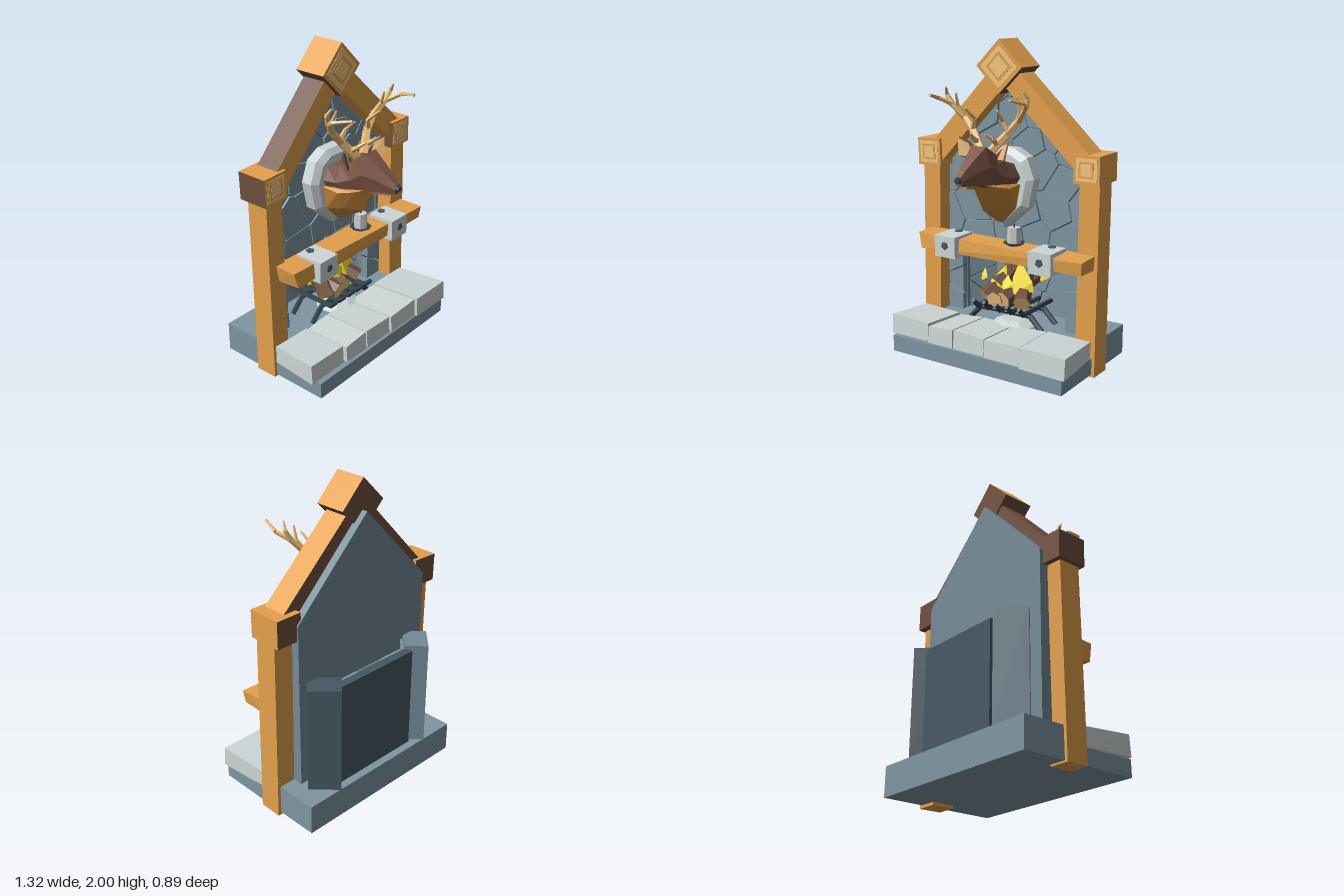
import * as THREE from 'three';
import { ConvexGeometry } from 'three/addons/geometries/ConvexGeometry.js';

const mat = (color) => new THREE.MeshStandardMaterial({ color, flatShading: true });
const M = {
  wood: mat(0xe3a04c), pale: mat(0xf2c680), brown: mat(0x70503f), fur: mat(0x7a5343),
  slate: mat(0x7f96a2), slab: mat(0x748a96), dark: mat(0x465862), iron: mat(0x33434c),
  stone: mat(0xcdd6d6), flame: mat(0xfbe93c), antler: mat(0xecbb78), chest: mat(0xc88a3a), wax: mat(0xcccccc),
};
const V = (x, y, z) => new THREE.Vector3(x, y, z);

export function createModel() {
  const model = new THREE.Group();
  const add = (name, geo, m, parent = model) => {
    const mesh = new THREE.Mesh(geo, m);
    mesh.name = name;
    parent.add(mesh);
    return mesh;
  };
  // Box from min/max extents
  const box = (name, x0, x1, y0, y1, z0, z1, m) => {
    const b = add(name, new THREE.BoxGeometry(x1 - x0, y1 - y0, z1 - z0), m);
    b.position.set((x0 + x1) / 2, (y0 + y1) / 2, (z0 + z1) / 2);
    return b;
  };
  // Tapered rod between two points
  const rod = (name, a, b, r0, r1, m, sides = 5) => {
    const d = b.clone().sub(a);
    const c = add(name, new THREE.CylinderGeometry(r1, r0, d.length(), sides), m);
    c.position.copy(a).add(b).multiplyScalar(0.5);
    c.quaternion.setFromUnitVectors(V(0, 1, 0), d.normalize());
  };
  const hull = (name, pts, m) => add(name, new ConvexGeometry(pts.map((p) => V(...p))), m);
  // Body lofted along z through six-sided rings [z, halfWidth, yBottom, yTop]
  const loft = (name, cx, rings, m) => {
    const pts = rings.map(([z, w, y0, y1]) => [0, 1, 2, 3, 4, 5].map((i) => {
      const a = i * Math.PI / 3;
      return V(cx + w * Math.cos(a) * (i % 3 ? 1.3 : 1), (y0 + y1) / 2 + Math.sin(a) / 0.866 * (y1 - y0) / 2, z);
    }));
    const tri = [];
    for (let r = 0; r + 1 < pts.length; r++) for (let i = 0; i < 6; i++) {
      const j = (i + 1) % 6, a = pts[r], b = pts[r + 1];
      tri.push(a[i], a[j], b[j], a[i], b[j], b[i]);
    }
    const e = pts[pts.length - 1];
    for (let i = 1; i < 5; i++) tri.push(pts[0][0], pts[0][i + 1], pts[0][i], e[0], e[i], e[i + 1]);
    const g = new THREE.BufferGeometry().setFromPoints(tri);
    g.computeVertexNormals();
    return add(name, g, m);
  };

  // Base slab and slightly skewed hearth bricks [xLeft, xRight, frontZ, topLeft, topRight]
  box('baseBack', -0.615, 0.625, 0.02, 0.21, -0.44, -0.02, M.slate);
  box('baseFront', -0.615, 0.625, 0.02, 0.125, -0.02, 0.345, M.slate);
  [[-0.65, -0.365, 0.31, 0.25, 0.24], [-0.35, -0.165, 0.325, 0.23, 0.245], [-0.155, 0.07, 0.325, 0.245, 0.235],
    [0.08, 0.33, 0.335, 0.235, 0.245], [0.34, 0.645, 0.35, 0.25, 0.245]].forEach(([a, b, z, ya, yb]) => {
    const k = 0.96;
    hull('hearthBrick', [[a, 0.12, z], [b, 0.115, z], [a, ya, z - 0.008], [b, yb, z - 0.008],
      [a * k, 0.12, -0.01], [b * k, 0.12, -0.01], [a * k, ya - 0.015, -0.01], [b * k, yb - 0.015, -0.01]], M.stone);
  });

  // Gabled back wall with fireplace opening
  const wall = new THREE.Shape([[-0.53, 0.2], [0.515, 0.2], [0.515, 1.28], [-0.02, 1.81], [-0.53, 1.28]].map((p) => new THREE.Vector2(...p)));
  wall.holes.push(new THREE.Path([[-0.39, 0.21], [-0.39, 0.7], [0.39, 0.7], [0.39, 0.21]].map((p) => new THREE.Vector2(...p))));
  add('backWall', new THREE.ExtrudeGeometry(wall, { depth: 0.075, bevelEnabled: false }), M.slab).position.z = -0.235;

  // Firebox: angled cheeks and rear plate, open on top
  for (const [x, s, m] of [[-0.385, 1, M.slab], [0.4, -1, M.dark]]) {
    const cheek = box('fireboxCheek', x - 0.1, x + 0.1, 0.2, 0.9, -0.395, -0.245, m);
    cheek.rotation.y = s * Math.PI / 4;
  }
  box('fireboxBack', -0.28, 0.36, 0.2, 0.88, -0.39, -0.335, M.dark);

  // Irregular masonry: jittered cells clipped against neighbours
  let seed = 7;
  const rnd = () => (seed = (seed * 16807) % 2147483647) / 2147483647;
  const clip = (poly, p, n) => poly.flatMap((a, i) => {
    const b = poly[(i + 1) % poly.length];
    const da = a.clone().sub(p).dot(n), db = b.clone().sub(p).dot(n);
    const out = da <= 0 ? [a] : [];
    if (da * db < 0) out.push(a.clone().lerp(b, da / (da - db)));
    return out;
  });
  const masonry = (outline, cell, depth = 0.025) => {
    const g = new THREE.Group();
    g.name = 'masonry';
    model.add(g);
    const poly = outline.map((p) => new THREE.Vector2(...p));
    const bb = new THREE.Box2().setFromPoints(poly);
    const sites = [];
    for (let y = bb.min.y, r = 0; y < bb.max.y; y += cell, r++)
      for (let x = bb.min.x + (r % 2) * cell / 2; x <= bb.max.x; x += cell)
        sites.push(new THREE.Vector2(x + rnd() * cell * 0.7, y + rnd() * cell * 0.7));
    for (const s of sites) {
      let c = poly;
      for (const t of sites) if (t !== s) {
        const n = t.clone().sub(s).normalize();
        c = clip(c, s.clone().add(t).multiplyScalar(0.5).addScaledVector(n, -0.004), n);
      }
      if (c.length > 2) add('wallStone', new THREE.ExtrudeGeometry(new THREE.Shape(c), { depth: depth * (0.75 + rnd() * 0.5), bevelEnabled: false }), M.slate, g);
    }
    // Dark joints
    add('mortar', new THREE.ExtrudeGeometry(new THREE.Shape(poly), { depth: 0.004, bevelEnabled: false }), M.iron, g);
    return g;
  };
  masonry([[-0.52, 0.7], [0.514, 0.7], [0.514, 1.27], [-0.02, 1.79], [-0.52, 1.27]], 0.2).position.z = -0.16;
  for (const x of [-0.525, 0.385]) masonry([[x, 0.21], [x + 0.13, 0.21], [x + 0.13, 0.7], [x, 0.7]], 0.14, 0.05).position.z = -0.16;
  for (const [x, s] of [[-0.33, 1], [0.345, -1]]) {
    const m = masonry([[-0.1, 0.21], [0.1, 0.21], [0.1, 0.88], [-0.1, 0.88]], 0.17, 0.015);
    m.position.set(x, 0, -0.268);
    m.rotation.y = s * Math.PI / 4;
  }
  masonry([[-0.26, 0.21], [0.27, 0.21], [0.27, 0.88], [-0.26, 0.88]], 0.18, 0.015).position.z = -0.335;

  // Timber frame; faces ordered +x -x +y -y +z -z
  const { wood: w, brown: d } = M;
  for (const p of [box('leftPost', 0.512, 0.645, 0.002, 1.22, -0.175, -0.025, w), box('rightPost', -0.635, -0.508, 0.01, 1.22, -0.17, -0.025, w)])
    p.rotation.x = -0.014;
  const rafter = (a, b, mats) => {
    const len = Math.hypot(b[0] - a[0], b[1] - a[1]);
    const r = add('rafter', new THREE.BoxGeometry(len, 0.135, 0.155), mats);
    r.position.set((a[0] + b[0]) / 2, (a[1] + b[1]) / 2, -0.108);
    r.rotation.z = Math.atan2(b[1] - a[1], b[0] - a[0]);
  };
  rafter([-0.58, 1.22], [-0.05, 1.78], [w, w, d, w, w, d]);
  rafter([0, 1.8], [0.58, 1.255], [w, w, w, w, w, d]);
  // Joint blocks with nested square inlays
  const joint = (name, x, y, s, zc, depth, rot) => {
    const g = new THREE.Group();
    g.name = name;
    g.position.set(x, y, zc);
    g.rotation.z = rot;
    model.add(g);
    add('block', new THREE.BoxGeometry(s, s, depth), [w, d, w, d, w, d], g);
    [[0.8, M.pale], [0.56, w], [0.42, M.pale]].forEach(([k, m], i) => {
      add('inlay', new THREE.BoxGeometry(s * k, s * k, 0.004), m, g).position.z = depth / 2 + 0.002 * i;
    });
  };
  joint('rightJoint', -0.576, 1.272, 0.175, -0.11, 0.2, 0.03);
  joint('leftJoint', 0.57, 1.268, 0.172, -0.115, 0.22, 0);
  joint('ridgeJoint', -0.027, 1.836, 0.23, -0.095, 0.205, Math.PI / 4);

  // Mantel beam with stone straps and five-sided bolts
  hull('mantel', [[-0.56, 0.66, -0.04], [-0.55, 0.665, 0.12], [-0.58, 0.77, -0.04], [-0.575, 0.765, 0.11],
    [0.62, 0.67, -0.04], [0.62, 0.675, 0.13], [0.625, 0.76, -0.04], [0.63, 0.755, 0.14]], w);
  for (const x of [-0.33, 0.36]) {
    box('strap', x - 0.078, x + 0.078, 0.645, 0.782, -0.02, 0.165, M.stone);
    const bolt = () => add('bolt', new THREE.CylinderGeometry(0.024, 0.028, 0.01, 5), M.dark);
    bolt().position.set(x, 0.785, 0.015);
    const f = bolt();
    f.position.set(x, 0.72, 0.168);
    f.rotation.x = Math.PI / 2;
  }

  // Candle on a dish
  const at = (mesh, x, y, z) => mesh.position.set(x, y, z);
  at(add('candleDish', new THREE.CylinderGeometry(0.07, 0.045, 0.014, 8), M.iron), 0.11, 0.775, 0.045);
  at(add('candle', new THREE.CylinderGeometry(0.04, 0.044, 0.095, 7), M.wax), 0.11, 0.83, 0.045);
  at(add('wick', new THREE.CylinderGeometry(0.005, 0.005, 0.03, 4), M.iron), 0.11, 0.885, 0.045);

  // Faceted plaque behind the trophy
  const cx = -0.025;
  const rim = [[0, 0.83], [0.17, 0.98], [0.21, 1.16], [0.16, 1.29], [0.07, 1.34]];
  const outline = [...rim, ...rim.slice(1).reverse().map(([x, y]) => [-x, y])];
  hull('plaque', outline.flatMap(([x, y]) => [[cx + x, y, -0.13], [cx + x, y, -0.06],
    [cx + x * 0.8, 1.11 + (y - 1.11) * 0.84, -0.03]]), M.stone);

  // Stag chest, head and jaw
  hull('chest', [[0, 0.87, -0.04], [0, 0.89, 0.02], [0, 0.99, 0.18], [0, 1.13, 0.26],
    ...[-1, 1].flatMap((s) => [[s * 0.13, 1.13, -0.04], [s * 0.1, 0.97, -0.04], [s * 0.125, 1.12, 0.08], [s * 0.07, 1.0, 0.08],
      [s * 0.09, 1.14, 0.17], [s * 0.03, 1.17, 0.26]])].map(([x, y, z]) => [cx + x, y, z]), M.chest);
  loft('head', cx, [[-0.04, 0.13, 1.09, 1.25], [0.06, 0.12, 1.08, 1.28], [0.15, 0.095, 1.09, 1.34], [0.22, 0.08, 1.14, 1.385],
    [0.31, 0.055, 1.165, 1.325], [0.39, 0.035, 1.175, 1.265], [0.425, 0.027, 1.18, 1.235]], M.fur);
  loft('nose', cx, [[0.41, 0.03, 1.19, 1.24], [0.445, 0.018, 1.2, 1.225]], M.iron);
  loft('jaw', cx, [[0.24, 0.035, 1.13, 1.19], [0.37, 0.022, 1.155, 1.2]], M.chest);
  for (const s of [-1, 1]) {
    const P = (x, y, z) => V(cx + s * x, y, z);
    const E = (x, y, z) => [cx + s * x, y, z];
    hull('ear', [E(0.06, 1.33, 0.13), E(0.09, 1.28, 0.14), E(0.13, 1.39, 0.12), E(0.18, 1.425, 0.17), E(0.165, 1.31, 0.19), E(0.1, 1.33, 0.09)], M.fur);
    hull('innerEar', [E(0.09, 1.305, 0.16), E(0.125, 1.385, 0.15), E(0.178, 1.415, 0.185), E(0.16, 1.315, 0.205), E(0.1, 1.34, 0.14)], M.antler);
    // Antler beam and tines
    const tines = [
      [P(0.03, 1.34, 0.15), P(0.12, 1.45, 0.1), P(0.19, 1.53, 0.09), P(0.26, 1.61, 0.13), P(0.31, 1.65, 0.2), P(0.28, 1.68, 0.32)],
      [P(0.19, 1.53, 0.09), P(0.225, 1.6, 0.12), P(0.215, 1.68, 0.15)],
      [P(0.26, 1.61, 0.13), P(0.29, 1.67, 0.14), P(0.275, 1.715, 0.17)],
      [P(0.13, 1.46, 0.1), P(0.1, 1.53, 0.12), P(0.115, 1.6, 0.2)],
      [P(0.07, 1.39, 0.13), P(0.07, 1.43, 0.19), P(0.05, 1.46, 0.23)]];
    tines.forEach((t, k) => {
      const r = (i) => (k ? 0.02 : 0.03) * (1 - 0.7 * i / (t.length - 1));
      for (let i = 0; i + 1 < t.length; i++) rod('antler', t[i], t[i + 1], r(i), r(i + 1), M.antler);
    });
  }

  // Ash, iron grate with upturned bars on an arched rail
  at(add('ash', new THREE.CylinderGeometry(0.08, 0.16, 0.035, 7), M.stone), 0.03, 0.225, -0.08);
  for (const x of [-0.17, -0.09, 0, 0.08, 0.17]) {
    rod('grateBar', V(x, 0.32, -0.31), V(x, 0.32, 0.04), 0.017, 0.017, M.iron);
    rod('grateHook', V(x, 0.32, 0.03), V(x, 0.37, 0.085), 0.019, 0.014, M.iron);
  }
  for (const z of [-0.2, -0.03]) {
    const arch = [[-0.27, 0.21], [-0.18, 0.3], [0.18, 0.3], [0.27, 0.21]].map(([x, y]) => V(x, y, z));
    for (let i = 0; i < 3; i++) rod('grateRail', arch[i], arch[i + 1], 0.018, 0.018, M.iron);
  }

  // Split logs with pale cut ends
  [[[-0.15, 0.37, -0.02], [-0.06, 0.5, -0.2]], [[-0.09, 0.45, -0.08], [-0.02, 0.58, -0.2]], [[0.0, 0.38, 0], [0.07, 0.48, -0.32]],
    [[0.14, 0.38, 0], [0.04, 0.5, -0.22]], [[-0.06, 0.37, 0.01], [-0.1, 0.42, -0.26]]].forEach(([a, b]) => {
    rod('log', V(...a), V(...b), 0.055, 0.045, [M.brown, M.pale, M.pale], 6);
  });
  // Flames and drifting sparks
  const flame = (x, y, z, r, h, lean = 0) => hull('flame', [[x - r, y, z], [x - r * 0.3, y, z + r * 0.6], [x + r, y + 0.02, z], [x, y, z - r * 0.6],
    [x + r * 0.9, y + h * 0.4, z], [x - r * 0.6, y + h * 0.5, z + r * 0.3], [x + lean, y + h, z - 0.01]], M.flame);
  flame(0.09, 0.42, -0.08, 0.085, 0.21, -0.02);
  flame(-0.09, 0.37, -0.09, 0.075, 0.21, 0.05);
  flame(0.0, 0.44, -0.05, 0.045, 0.09);
  flame(-0.21, 0.45, -0.1, 0.025, 0.08);
  flame(0.24, 0.52, -0.1, 0.03, 0.11, 0.02);
  return model;
}
